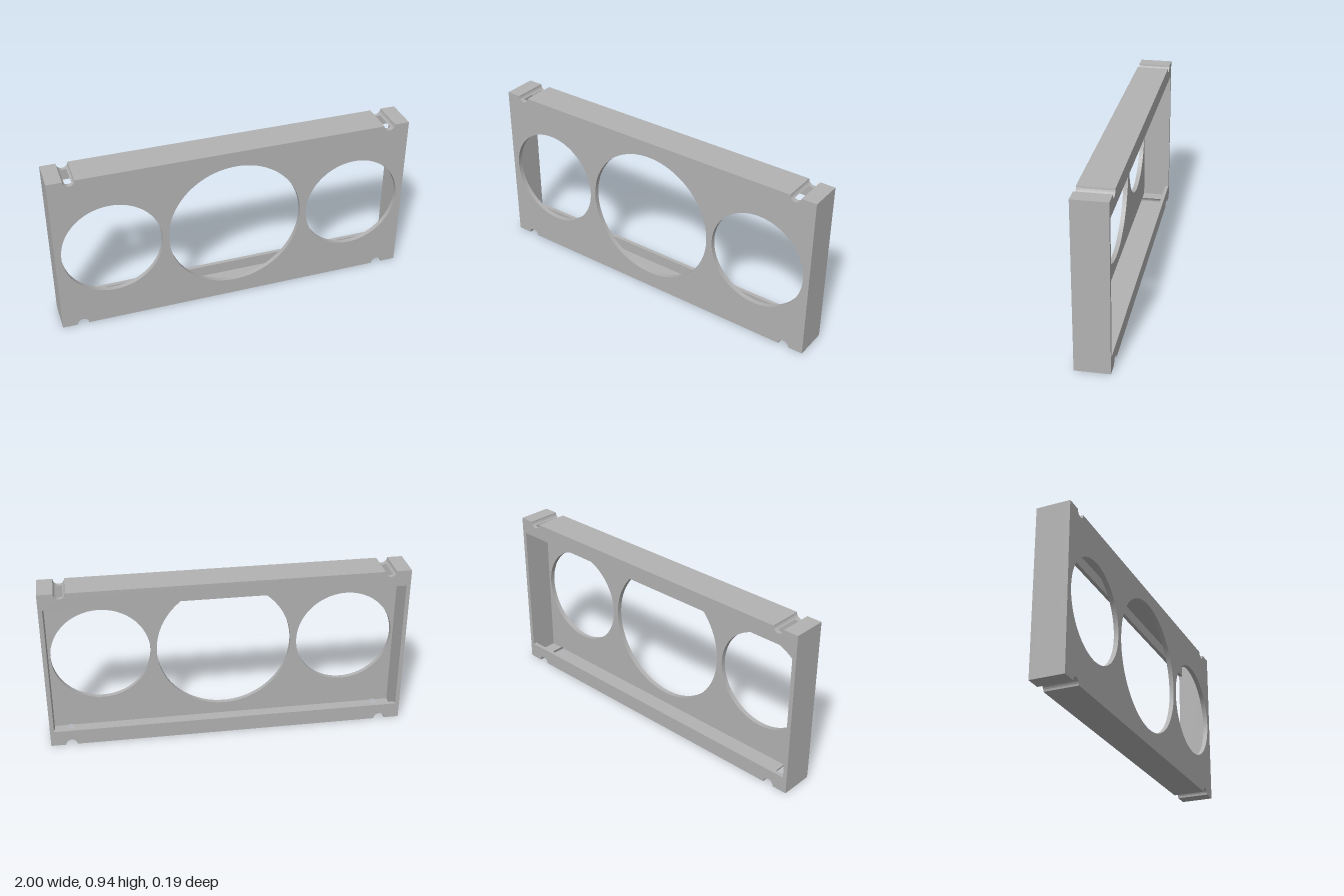
import * as THREE from 'three';
import { toCreasedNormals } from 'three/addons/utils/BufferGeometryUtils.js';

const H = 0.937;                  // height (width is 2)
const BACK = -0.0935, LIP = -0.072, PLATE = 0.067, FRONT = 0.0935; // z layers
const WALL = 0.025, SIDE = 0.977; // top/bottom wall thickness, inner face of side walls
const NX = 0.885, NR = 0.031;     // notch position and radius
const PHI = Math.asin(WALL / NR); // angle where a notch breaks through the wall

export function createModel() {
  const group = new THREE.Group();
  const grey = new THREE.MeshStandardMaterial({ color: 0xb2b2b2 });
  grey.name = 'grey';

  function add(name, shape, z0, z1, flip = false) {
    const geo = new THREE.ExtrudeGeometry(shape, { depth: z1 - z0, bevelEnabled: false, curveSegments: 40 });
    const mesh = new THREE.Mesh(toCreasedNormals(geo, 0.5), grey);
    mesh.name = name;
    mesh.position.z = z0;
    if (flip) {                   // half turn about the centre of the face
      mesh.rotation.z = Math.PI;
      mesh.position.y = H;
    }
    group.add(mesh);
  }

  // Full rectangle with four half-round notches
  function outline() {
    const s = new THREE.Shape();
    s.moveTo(-1, 0);
    for (const x of [-NX, NX]) {
      s.lineTo(x - NR, 0);
      s.absarc(x, 0, NR, Math.PI, 0, true);
    }
    s.lineTo(1, 0);
    s.lineTo(1, H);
    for (const x of [NX, -NX]) {
      s.lineTo(x + NR, H);
      s.absarc(x, H, NR, 0, -Math.PI, true);
    }
    s.lineTo(-1, H);
    s.closePath();
    return s;
  }

  // Front plate with three round openings
  const plate = outline();
  for (const [x, r] of [[-0.689, 0.276], [0, 0.379], [0.689, 0.276]]) {
    const hole = new THREE.Path();
    hole.absarc(x, 0.471, r, 0, Math.PI * 2, true);
    plate.holes.push(hole);
  }
  add('frontPlate', plate, PLATE, FRONT);

  // Back rim with a large rectangular opening
  const rim = outline();
  const lo = 0.09, hi = H - 0.09;
  rim.holes.push(new THREE.Path([[-SIDE, lo], [-SIDE, hi], [SIDE, hi], [SIDE, lo], [-SIDE, lo]]
    .map(([x, y]) => new THREE.Vector2(x, y))));
  add('backRim', rim, BACK, LIP);

  // Thin top and bottom walls between the notches
  const wall = new THREE.Shape();
  wall.moveTo(-NX + NR, 0);
  wall.lineTo(NX - NR, 0);
  wall.absarc(NX, 0, NR, Math.PI, Math.PI - PHI, true);
  wall.lineTo(-NX + NR * Math.cos(PHI), WALL);
  wall.absarc(-NX, 0, NR, PHI, 0, true);
  add('bottomWall', wall, LIP, PLATE);
  add('topWall', wall, LIP, PLATE, true);

  // Side walls, turning the corners as far as the notches
  const side = new THREE.Shape();
  side.moveTo(NX + NR, 0);
  side.lineTo(1, 0);
  side.lineTo(1, H);
  side.lineTo(NX + NR, H);
  side.absarc(NX, H, NR, 0, -PHI, true);
  side.lineTo(SIDE, H - WALL);
  side.lineTo(SIDE, WALL);
  side.lineTo(NX + NR * Math.cos(PHI), WALL);
  side.absarc(NX, 0, NR, PHI, 0, true);
  add('leftWall', side, LIP, PLATE);
  add('rightWall', side, LIP, PLATE, true);

  return group;
}
